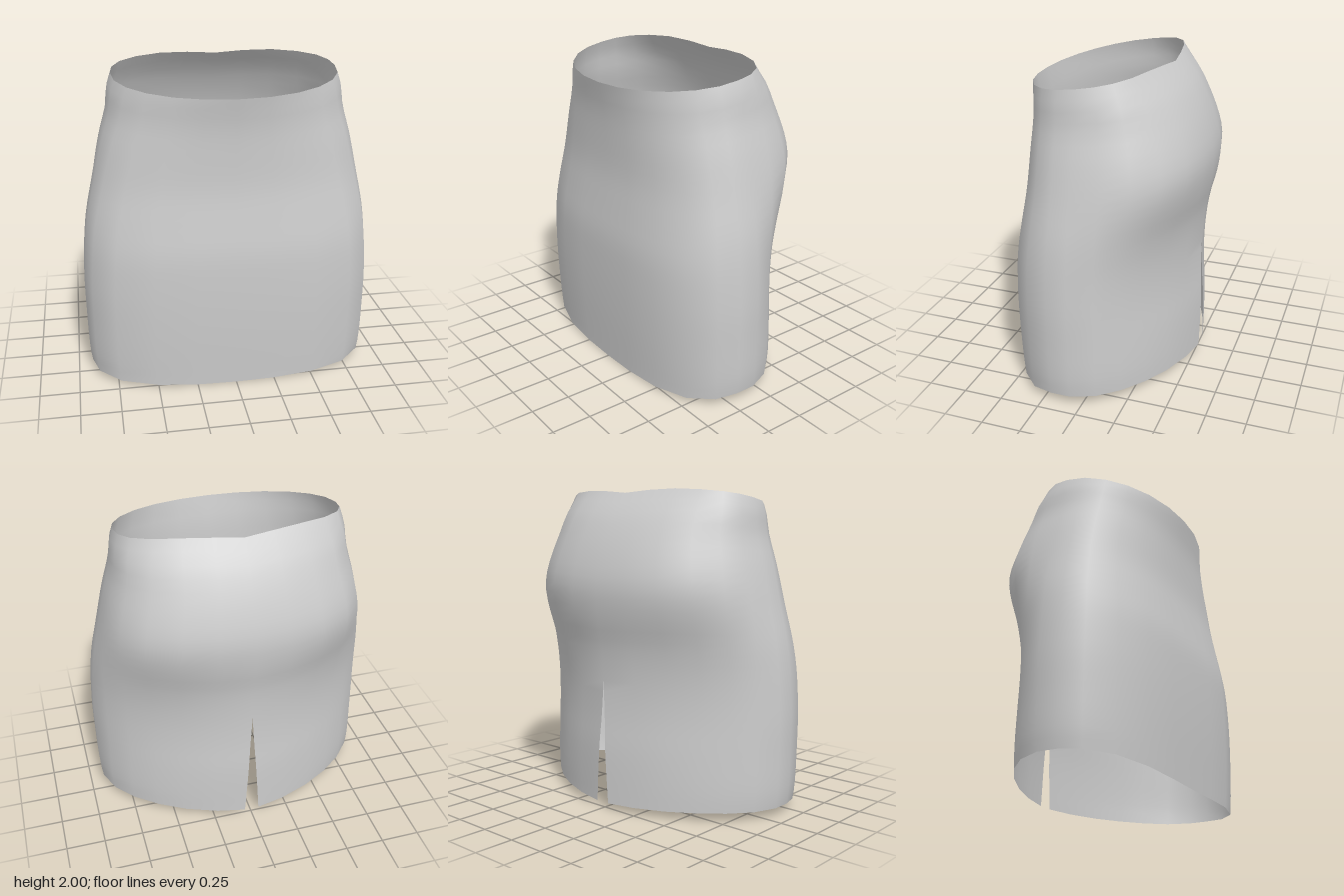
import * as THREE from 'three';
import { mergeVertices } from 'three/addons/utils/BufferGeometryUtils.js';

const COLUMNS = 24, ROWS = 30;
const CENTRE_Z = 0.07; // depth of the side seams
const SLIT_TOP = 0.81, SLIT_HALF = 0.05;

// Smooth function of height through [height, value] pairs
function profile(...pairs) {
  const curve = new THREE.CubicInterpolant(pairs.map(p => p[0]), pairs.map(p => p[1]), 1);
  return y => curve.evaluate(y)[0];
}

const width = profile([0.04, 0.91], [0.1, 0.92], [0.4, 0.93], [0.65, 0.93], [1.03, 0.9],
  [1.3, 0.845], [1.55, 0.79], [1.72, 0.745], [1.88, 0.725], [1.95, 0.7]);
const front = profile([0, 0.54], [0.4, 0.56], [0.7, 0.565], [0.9, 0.56], [1.1, 0.535],
  [1.3, 0.512], [1.5, 0.51], [1.7, 0.52], [1.87, 0.55]);
const back = profile([0.04, 0.52], [0.4, 0.52], [0.6, 0.508], [0.8, 0.505], [1.05, 0.52],
  [1.2, 0.548], [1.42, 0.56], [1.62, 0.51], [1.75, 0.455], [1.85, 0.4], [2, 0.28]);
// Squareness of the cross-section (2 is an ellipse)
const frontPower = profile([0, 3.2], [0.9, 3.1], [1.5, 2.6], [1.9, 2]);
const backPower = profile([0, 1.65], [0.85, 1.65], [1.1, 1.95], [1.4, 2.6], [1.7, 2.55], [1.95, 2.4]);

// Point on the outline at one direction and height
function outline(c, s, y) {
  const n = s > 0 ? frontPower(y) : backPower(y);
  const r = Math.pow(Math.abs(c) ** n + Math.abs(s) ** n, -1 / n);
  const depth = s > 0 ? front(y) - CENTRE_Z : back(y) + CENTRE_Z;
  return [c * r * width(y), CENTRE_Z + s * r * depth];
}

function skirtGeometry() {
  const positions = [], index = [];
  for (let i = 0; i <= COLUMNS; i++) {
    const angle = -Math.PI / 2 + i / COLUMNS * Math.PI * 2;
    const seam = i === 0 ? 1 : i === COLUMNS ? -1 : 0;
    const c = seam ? 0 : Math.cos(angle), s = Math.sin(angle);
    // Curved hem and tilted waist with a small dip at the back
    const hem = s > 0 ? 0.055 * (1 - s * s) : 0.055 - 0.015 * s ** 4;
    const [wx, wz] = outline(c, s, s > 0 ? 1.95 - 0.08 * s : 1.95 + 0.05 * -s);
    const dip = s < 0 ? 0.025 * Math.max(0, 1 - Math.abs(wx) / 0.3) : 0;
    const waist = 1.87 + (0.55 - wz) * 0.157 - dip;
    for (let j = 0; j <= ROWS; j++) {
      const y = hem + (waist - hem) * j / ROWS;
      let [x, z] = outline(c, s, y);
      // Both edges of the back seam part below the top of the slit
      if (seam) x = seam * SLIT_HALF * Math.max(0, 1 - y / SLIT_TOP);
      positions.push(x, y, z);
    }
  }
  for (let i = 0; i < COLUMNS; i++) {
    for (let j = 0; j < ROWS; j++) {
      const a = i * (ROWS + 1) + j, b = a + ROWS + 1;
      index.push(a, a + 1, b, b, a + 1, b + 1);
    }
  }
  const geometry = new THREE.BufferGeometry();
  geometry.setAttribute('position', new THREE.Float32BufferAttribute(positions, 3));
  geometry.setIndex(index);
  const merged = mergeVertices(geometry, 1e-4); // closes the seam above the slit
  merged.computeVertexNormals();
  return merged;
}

export function createModel() {
  const group = new THREE.Group();
  group.name = 'pencilSkirt';
  const fabric = new THREE.MeshStandardMaterial({ color: 0xcccccc, side: THREE.DoubleSide });
  fabric.name = 'light grey fabric';
  const skirt = new THREE.Mesh(skirtGeometry(), fabric);
  skirt.name = 'skirtBody';
  group.add(skirt);
  return group;
}
